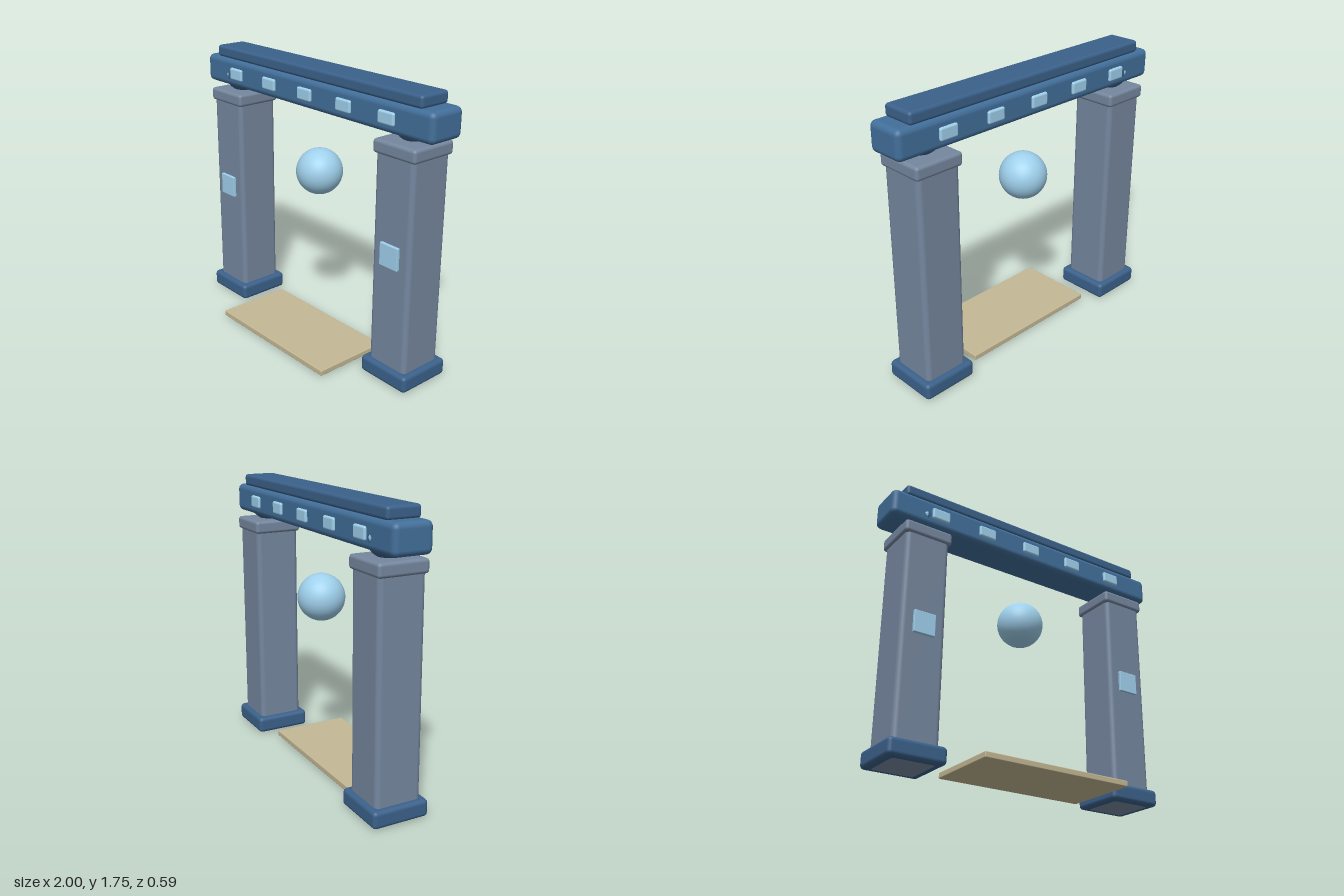
import * as THREE from 'three';
import { RoundedBoxGeometry } from 'three/addons/geometries/RoundedBoxGeometry.js';

const Z = -0.115; // shared depth centre of the gate

const paint = (color) => new THREE.MeshStandardMaterial({ color });
const blue = paint(0x426f9a);
const darkBlue = paint(0x3b618a);
const stone = paint(0x75879f);
const glow = paint(0x9fd0ec);
const sand = paint(0xc4b894);

export function createModel() {
  const model = new THREE.Group();
  model.name = 'gate';

  function add(parent, name, geometry, material, x, y, z) {
    const mesh = new THREE.Mesh(geometry, material);
    mesh.name = name;
    mesh.position.set(x, y, z);
    parent.add(mesh);
    return mesh;
  }

  // Rounded block spanning y0..y1
  function block(parent, name, w, y0, y1, d, r, material, x = 0, z = Z) {
    return add(parent, name, new RoundedBoxGeometry(w, y1 - y0, d, 3, r), material, x, (y0 + y1) / 2, z);
  }

  // Pillars with base, cap, ball joint under the beam and a front tile
  for (const side of [-1, 1]) {
    const pillar = new THREE.Group();
    pillar.name = side < 0 ? 'rightPillar' : 'leftPillar';
    pillar.position.x = side * 0.762;
    model.add(pillar);
    block(pillar, 'base', 0.358, 0.005, 0.11, 0.355, 0.025, darkBlue);
    block(pillar, 'shaft', 0.286, 0, 1.42, 0.288, 0.03, stone);
    block(pillar, 'cap', 0.315, 1.388, 1.47, 0.312, 0.02, stone);
    add(pillar, 'joint', new THREE.SphereGeometry(side < 0 ? 0.125 : 0.119, 16, 12), darkBlue, 0, 1.575, Z);
    block(pillar, 'tile', 0.138, 0.746, 0.885, 0.04, 0.004, glow, 0, 0.027);
  }

  // Small diamond studs on both faces of the beam
  for (const z of [0.006, -0.236]) {
    const stud = add(model, 'stud', new THREE.OctahedronGeometry(0.022), glow, -0.765, 1.575, z);
    stud.scale.z = 0.2;
  }

  // Lintel and top rail
  block(model, 'beam', 2, 1.502, 1.68, 0.242, 0.035, blue);
  block(model, 'topRail', 1.81, 1.675, 1.75, 0.21, 0.02, darkBlue);

  // Light panels running through the beam
  for (let i = -2; i <= 2; i++) {
    block(model, 'panel', 0.122, 1.552, 1.628, 0.272, 0.012, glow, i * 0.337);
  }

  // Floating orb
  add(model, 'orb', new THREE.SphereGeometry(0.146, 40, 24), glow, 0, 1.085, Z);

  // Threshold slab
  block(model, 'threshold', 0.985, 0.008, 0.044, 0.495, 0.006, sand, -0.002, 0.0475);

  return model;
}
